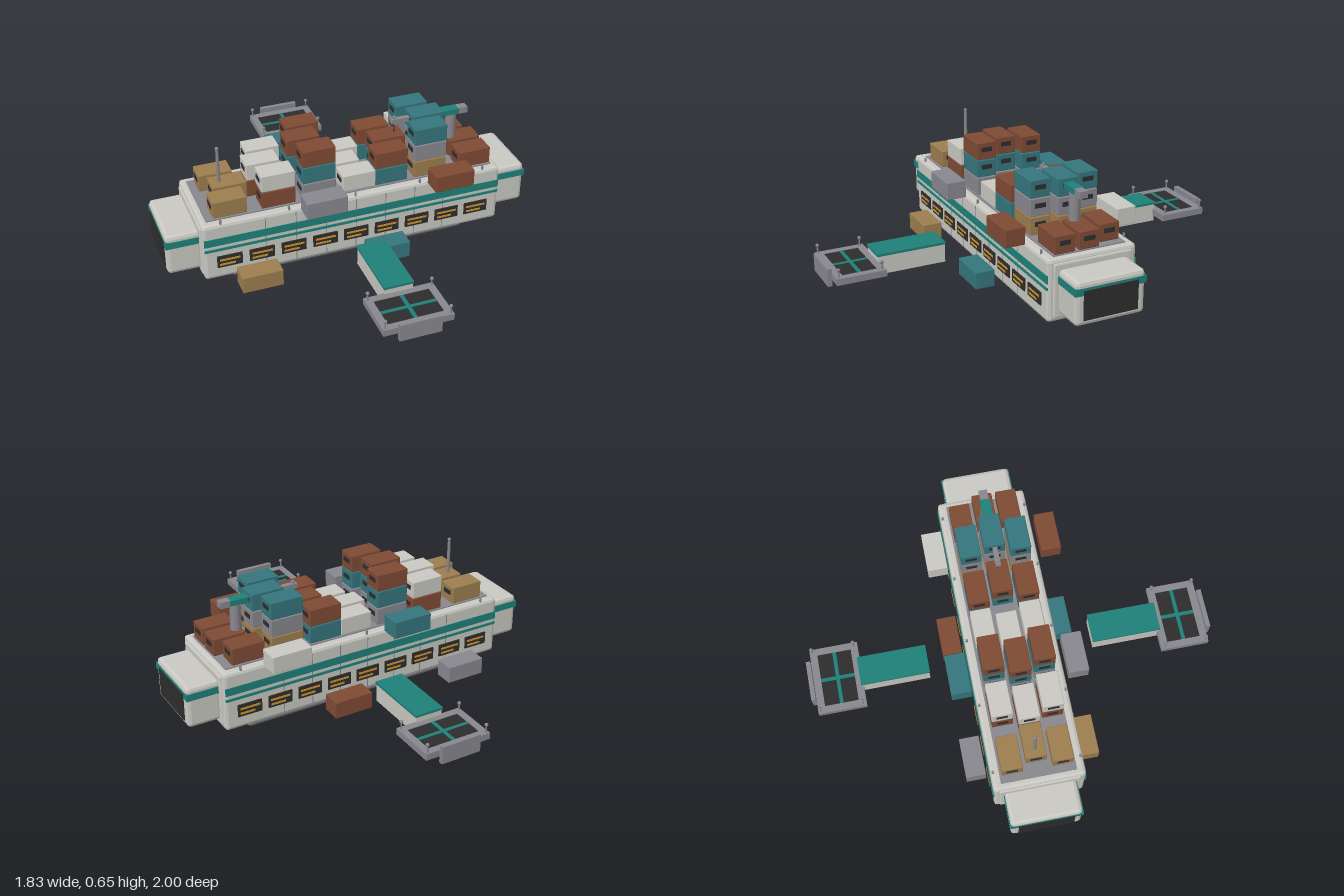
import * as THREE from 'three';
import { RoundedBoxGeometry } from 'three/addons/geometries/RoundedBoxGeometry.js';

const mat = (name, color) => {
  const m = new THREE.MeshStandardMaterial({ color });
  m.name = name;
  return m;
};

export function createModel() {
  const M = {
    white: mat('hullWhite', 0xc9c8c2),
    gray: mat('steelGray', 0x87878e),
    stripe: mat('stripeTeal', 0x1f8079),
    teal: mat('containerTeal', 0x35757d),
    brown: mat('containerRust', 0x7f4a34),
    gold: mat('containerOchre', 0x9c7d4e),
    dark: mat('darkPanel', 0x2d2d2e),
    amber: mat('amberSign', 0xd0942c),
  };
  const root = new THREE.Group();
  root.name = 'cargoStation';

  const add = (parent, name, geo, material, x, y, z) => {
    const mesh = new THREE.Mesh(geo, material);
    mesh.name = name;
    mesh.position.set(x, y, z);
    parent.add(mesh);
    return mesh;
  };
  const box = (parent, name, m, w, h, d, x, y, z) =>
    add(parent, name, new THREE.BoxGeometry(w, h, d), m, x, y, z);
  // Box with chamfered, flat-shaded edges
  const chamferBox = (parent, name, m, w, h, d, r, x, y, z) => {
    const geo = new RoundedBoxGeometry(w, h, d, 1, r);
    geo.computeVertexNormals();
    return add(parent, name, geo, m, x, y, z);
  };
  const rod = (parent, name, m, r0, r1, h, x, y, z, n = 12) =>
    add(parent, name, new THREE.CylinderGeometry(r0, r1, h, n), m, x, y, z);
  const group = (name) => {
    const g = new THREE.Group();
    g.name = name;
    root.add(g);
    return g;
  };

  // Hull, keel and deck
  const hull = group('hull');
  chamferBox(hull, 'hullBody', M.white, 1.5, 0.298, 0.44, 0.016, 0, 0.224, 0);
  chamferBox(hull, 'keel', M.gray, 1.2, 0.08, 0.285, 0.016, 0, 0.045, 0);
  box(hull, 'keelStrip', M.stripe, 1.1, 0.006, 0.04, 0, 0.003, 0);
  box(hull, 'deck', M.gray, 1.44, 0.008, 0.36, 0, 0.374, 0);

  // Side stripes, seams, signs and bollards
  for (const s of [-1, 1]) {
    box(hull, 'wideStripe', M.stripe, 1.49, 0.038, 0.006, 0, 0.281, s * 0.221);
    box(hull, 'thinStripe', M.stripe, 1.49, 0.013, 0.006, 0, 0.237, s * 0.221);
    for (let i = -4; i <= 4; i++) {
      const x = i * 0.157;
      box(hull, 'signPanel', M.dark, 0.122, 0.062, 0.008, x, 0.169, s * 0.222);
      box(hull, 'signLineUpper', M.amber, 0.1, 0.01, 0.003, x, 0.178, s * 0.2265);
      box(hull, 'signLineLower', M.amber, 0.075, 0.01, 0.003, x - s * 0.012, 0.154, s * 0.2265);
    }
    for (let i = -3; i <= 3; i++)
      box(hull, 'hullSeam', M.gray, 0.004, 0.27, 0.003, i * 0.15, 0.224, s * 0.2195);
    for (let i = -2; i <= 2; i++)
      rod(hull, 'bollard', M.gray, 0.006, 0.006, 0.022, i * 0.33, 0.379, s * 0.208, 8);
  }

  // End modules with dark hatch
  for (const s of [-1, 1]) {
    const end = group(s > 0 ? 'leftEnd' : 'rightEnd');
    chamferBox(end, 'endCollar', M.white, 0.03, 0.26, 0.39, 0.008, s * 0.742, 0.224, 0);
    chamferBox(end, 'endModule', M.white, 0.17, 0.208, 0.342, 0.018, s * 0.827, 0.221, 0);
    box(end, 'endStripe', M.stripe, 0.16, 0.034, 0.35, s * 0.834, 0.279, 0);
    box(end, 'endHatch', M.dark, 0.008, 0.14, 0.268, s * 0.913, 0.214, 0);
  }

  // Stacked containers: seven columns in three rows, each with end labels
  const stacks = [
    ['gold'], ['brown', 'white'], ['gray', 'teal', 'brown'], ['white'],
    ['teal', 'brown'], ['gold', 'gray', 'teal'], ['brown'],
  ];
  const shift = 0.036;
  const offsets = [ // per row, from the back to the front
    [0, 1, 1, 1, 0, 0, 0], [1, 0, 0, 0, 1, 1, 1], [0, 1, 1, 1, 0, 0, 1],
  ];
  const cargo = group('deckCargo');
  offsets.forEach((row, r) => {
    const z = (r - 1) * 0.12;
    stacks.forEach((levels, c) => {
      const x = -0.602 + c * 0.2 + row[c] * shift;
      levels.forEach((color, l) => {
        const y = 0.42 + l * 0.088;
        chamferBox(cargo, 'container', M[color], 0.164, 0.085, 0.1, 0.003, x, y, z);
        for (const s of [-1, 1])
          box(cargo, 'containerLabel', M.dark, 0.004, 0.022, 0.054, x + s * 0.0825, y + 0.008, z);
      });
    });
  });

  // Floating containers beside the hull, low and high by turns
  const floating = group('floatingCargo');
  const sides = { 1: ['gold', 'gray', 'teal', 'brown'], '-1': ['gray', 'teal', 'brown', 'white'] };
  for (const s of [-1, 1])
    sides[s].forEach((color, i) =>
      chamferBox(floating, 'floatingContainer', M[color], 0.198, 0.086, 0.098, 0.003,
        -0.502 + i * 0.32, i % 2 ? 0.42 : 0.083, s * 0.281));

  // Docking arms and landing platforms, front and back
  for (const s of [-1, 1]) {
    const dock = group(s > 0 ? 'frontDock' : 'backDock');
    box(dock, 'armBody', M.white, 0.136, 0.09, 0.335, 0, 0.179, s * 0.579);
    box(dock, 'armRoof', M.stripe, 0.144, 0.012, 0.341, 0, 0.23, s * 0.579);
    box(dock, 'platform', M.gray, 0.334, 0.026, 0.238, 0, 0.179, s * 0.858);
    for (const e of [-1, 1]) {
      box(dock, 'platformRimLong', M.gray, 0.334, 0.008, 0.036, 0, 0.194, s * 0.858 + e * 0.101);
      box(dock, 'platformRimShort', M.gray, 0.034, 0.008, 0.238, e * 0.15, 0.194, s * 0.858);
    }
    box(dock, 'landingPad', M.dark, 0.266, 0.004, 0.166, 0, 0.193, s * 0.858);
    box(dock, 'padLineAcross', M.stripe, 0.266, 0.004, 0.018, 0, 0.195, s * 0.858);
    box(dock, 'padLineAlong', M.stripe, 0.018, 0.0045, 0.166, 0, 0.195, s * 0.858);
    box(dock, 'platformLip', M.gray, 0.2, 0.086, 0.022, 0, 0.181, s * 0.989);
    for (const px of [-1, 1])
      for (const pz of [0.758, 0.964]) {
        rod(dock, 'lampPost', M.gray, 0.004, 0.004, 0.046, px * 0.154, 0.212, s * pz, 8);
        add(dock, 'lamp', new THREE.SphereGeometry(0.009, 10, 8), M.gray, px * 0.154, 0.236, s * pz);
      }
  }

  // Antenna mast
  const mast = group('mast');
  rod(mast, 'mastPole', M.gray, 0.007, 0.01, 0.26, -0.604, 0.508, 0);
  add(mast, 'mastTip', new THREE.SphereGeometry(0.009, 10, 8), M.gray, -0.604, 0.64, 0);

  // Deck crane
  const crane = group('crane');
  rod(crane, 'cranePedestal', M.gray, 0.026, 0.028, 0.22, 0.577, 0.486, 0);
  box(crane, 'craneCab', M.stripe, 0.095, 0.026, 0.05, 0.562, 0.608, 0);
  box(crane, 'craneBoom', M.gray, 0.35, 0.024, 0.024, 0.434, 0.608, 0);
  box(crane, 'counterweight', M.gray, 0.05, 0.032, 0.04, 0.632, 0.606, 0);
  rod(crane, 'craneCable', M.dark, 0.003, 0.003, 0.1, 0.277, 0.575, 0, 6);
  rod(crane, 'cableSheave', M.gray, 0.008, 0.008, 0.016, 0.277, 0.624, 0, 8);

  return root;
}
